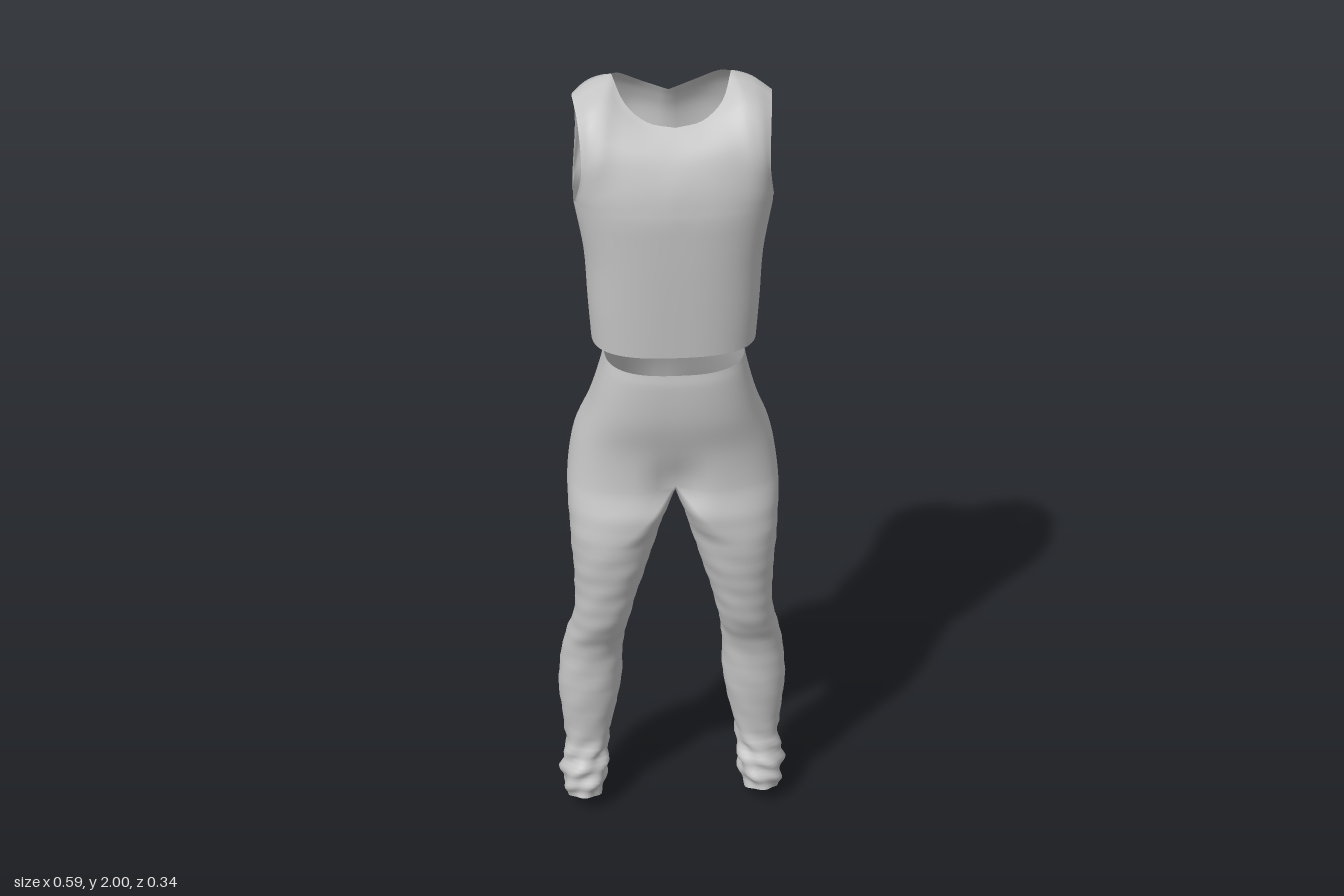
import * as THREE from 'three';
import { mergeVertices } from 'three/addons/utils/BufferGeometryUtils.js';

const clamp01 = (v) => Math.min(1, Math.max(0, v));
const power = (v, e) => Math.sign(v) * Math.pow(Math.abs(v), e);

// Catmull-Rom through equal-length number rows, t in 0..1
function spline(keys, t) {
  const n = keys.length - 1;
  const i = Math.min(n - 1, Math.floor(t * n + 1e-9));
  const f = t * n - i;
  const b = keys[i], c = keys[i + 1];
  const a = keys[i - 1] || b.map((v, k) => 2 * v - c[k]);
  const d = keys[i + 2] || c.map((v, k) => 2 * v - b[k]);
  return b.map((v, k) => v + 0.5 * f * (c[k] - a[k]
    + f * (2 * a[k] - 5 * v + 4 * c[k] - d[k] + f * (3 * (v - c[k]) + d[k] - a[k]))));
}

// Body cross-section: angle 0 is front, PI/2 outer side, PI back, beyond that the inner leg
function section(a, { xo, xi = 0, cx = 0, zf, zb, cf = 0, cb = 0, e = 0.75 }) {
  const s = Math.sin(a), c = Math.cos(a);
  const x = Math.max(0, cx + (s >= 0 ? xo - cx : cx - xi) * power(Math.abs(s) < 1e-9 ? 0 : s, e));
  const half = (zf - zb) / 2;
  const groove = 1 - (c > 0 ? cf : cb) * Math.exp(-((x / 0.05) ** 2));
  return [x, (zf + zb) / 2 + half * power(c, e) * groove];
}

// Collects point grids with their mirror image and welds them into one smooth skin
class Skin {
  constructor() { this.pos = []; this.idx = []; }
  grid(rows, cols, at, flip) {
    for (const m of [1, -1]) {
      const base = this.pos.length / 3;
      for (let r = 0; r <= rows; r++) for (let c = 0; c <= cols; c++) {
        const [x, y, z] = at(r / rows, c / cols);
        this.pos.push(m * x, y, z);
      }
      for (let r = 0; r < rows; r++) for (let c = 0; c < cols; c++) {
        const a = base + r * (cols + 1) + c, b = a + 1, d = a + cols + 1, q = d + 1;
        if ((m < 0) !== flip) this.idx.push(a, d, b, b, d, q);
        else this.idx.push(a, b, d, b, q, d);
      }
    }
  }
  mesh(name, material) {
    let g = new THREE.BufferGeometry();
    g.setAttribute('position', new THREE.Float32BufferAttribute(this.pos, 3));
    g.setIndex(this.idx);
    g = mergeVertices(g, 1e-5);
    g.computeVertexNormals();
    const mesh = new THREE.Mesh(g, material);
    mesh.name = name;
    return mesh;
  }
}

// Torso tube from hem to armpit: y, half width, front z, back z, spine groove
const TORSO = [
  [1.378, 0.193, 0.16, -0.118, 0],
  [1.48, 0.2, 0.164, -0.123, 0.01],
  [1.6, 0.207, 0.168, -0.137, 0.03],
  [1.72, 0.228, 0.17, -0.155, 0.08],
];
// Panels above the armpit: rows from centre to armhole edge; last row is neckline + shoulder seam
const SEAM = [[0.135, 2, -0.04], [0.185, 1.985, -0.035], [0.226, 1.96, -0.02]];
const FRONT = [
  [[0, 1.79, 0.16], [0.09, 1.79, 0.154], [0.148, 1.785, 0.143], [0.185, 1.775, 0.128], [0.21, 1.765, 0.105], [0.225, 1.745, 0.07]],
  [[0, 1.85, 0.135], [0.08, 1.86, 0.13], [0.135, 1.87, 0.122], [0.17, 1.865, 0.122], [0.195, 1.85, 0.118], [0.212, 1.83, 0.108]],
  [[0, 1.89, 0.105], [0.07, 1.9, 0.098], [0.122, 1.93, 0.075], [0.155, 1.955, 0.06], [0.19, 1.945, 0.066], [0.217, 1.925, 0.065]],
  [[0, 1.915, 0.08], [0.062, 1.925, 0.068], [0.11, 1.957, 0.03], SEAM[0]],
];
const BACK = [
  [[0, 1.8, -0.148], [0.09, 1.8, -0.165], [0.148, 1.795, -0.16], [0.185, 1.785, -0.148], [0.21, 1.77, -0.125], [0.225, 1.745, -0.08]],
  [[0, 1.86, -0.146], [0.08, 1.87, -0.168], [0.135, 1.87, -0.165], [0.175, 1.865, -0.158], [0.2, 1.85, -0.15], [0.215, 1.84, -0.14]],
  [[0, 1.9, -0.134], [0.07, 1.915, -0.152], [0.122, 1.94, -0.145], [0.158, 1.955, -0.13], [0.192, 1.945, -0.122], [0.22, 1.925, -0.108]],
  [[0, 1.925, -0.122], [0.062, 1.945, -0.131], [0.112, 1.975, -0.105], SEAM[0]],
];

function torsoPoint(v, a) {
  const [y, xo, zf, zb, cb] = spline(TORSO, v);
  const [x, z] = section(a, { xo, zf, zb, cb });
  return [x, y, z];
}

function panelPoint(panel, v, u, isBack) {
  const a = u * Math.PI / 2;
  const top = u <= 0.6 ? spline(panel[3], u / 0.6) : spline(SEAM, (u - 0.6) / 0.4);
  const column = [torsoPoint(1, isBack ? Math.PI - a : a),
    ...panel.slice(0, 3).map((row) => spline(row, u)), top];
  return spline(column, v);
}

function makeTop(material) {
  const skin = new Skin();
  skin.grid(12, 40, (v, u) => torsoPoint(v, u * Math.PI), false);
  skin.grid(16, 20, (v, u) => panelPoint(FRONT, v, u, false), false);
  skin.grid(16, 20, (v, u) => panelPoint(BACK, v, u, true), true);
  return skin.mesh('sleevelessTop', material);
}

// Leggings: y, outer x, inner x, front z, back z, front groove, back groove
const LEG = [
  [1.347, 0.165, 0, 0.156, -0.068, 0, 0],
  [1.3, 0.175, 0, 0.16, -0.082, 0, 0],
  [1.2, 0.202, 0, 0.155, -0.127, 0, 0.05],
  [1.1, 0.238, 0, 0.135, -0.165, 0.03, 0.22],
  [1.0, 0.255, 0, 0.135, -0.145, 0.25, 0.4],
  [0.92, 0.256, 0.02, 0.15, -0.095, 0.1, 0.2],
  [0.8, 0.25, 0.055, 0.145, -0.065, 0, 0],
  [0.7, 0.245, 0.085, 0.13, -0.055, 0, 0],
  [0.6, 0.25, 0.11, 0.11, -0.045, 0, 0],
  [0.5, 0.275, 0.125, 0.07, -0.075, 0, 0],
  [0.36, 0.29, 0.132, 0.06, -0.097, 0, 0],
  [0.2, 0.276, 0.165, 0.045, -0.07, 0, 0],
  [0.1, 0.288, 0.172, 0.07, -0.06, 0, 0],
  [0.028, 0.275, 0.19, 0.075, -0.055, 0, 0],
];
const CROTCH = 4 / 13;

function leggingsPoint(t, a) {
  const [y, xo, xiRaw, zf, zb, cf, cb] = spline(LEG, t);
  const split = clamp01((1 - y) / 0.14);
  const xi = t <= CROTCH + 1e-9 ? 0 : Math.max(0, xiRaw);
  const cx = split * (xo + xi) / 2;
  let [x, z] = section(a, { xo, xi, cx, zf, zb, cf, cb, e: 0.75 + 0.18 * split });
  // saddle under the crotch, slanted waist and slanted ankle opening
  const dip = 0.03 * Math.max(0, -Math.sin(a)) * clamp01(1 - (1 - y) / 0.08);
  const tilt = -0.018 * clamp01((y - 1.25) / 0.1) + 0.028 * clamp01((0.2 - y) / 0.17);
  // soft cloth ripples, gathered into folds at the ankle
  const amount = split * (0.0015 + 0.007 * clamp01((0.24 - y) / 0.08) * clamp01(y / 0.06));
  const ripple = amount * Math.sin(85 * y + 3 * a) * Math.cos(2 * a - 31 * y);
  x += ripple * Math.sin(a);
  z += ripple * Math.cos(a);
  return [x, y - dip + tilt * Math.cos(a), z];
}

function makeLeggings(material) {
  const skin = new Skin();
  // hips as half rings
  skin.grid(20, 32, (v, u) => leggingsPoint(v * CROTCH, u * Math.PI), true);
  // legs as full rings
  skin.grid(72, 64, (v, u) => leggingsPoint(CROTCH + v * (1 - CROTCH), u * 2 * Math.PI), true);
  return skin.mesh('leggings', material);
}

export function createModel() {
  const cloth = new THREE.MeshStandardMaterial({ color: 0xc4c4c4, side: THREE.DoubleSide });
  cloth.name = 'greyCloth';
  const model = new THREE.Group();
  model.name = 'outfit';
  model.add(makeTop(cloth), makeLeggings(cloth));
  return model;
}
